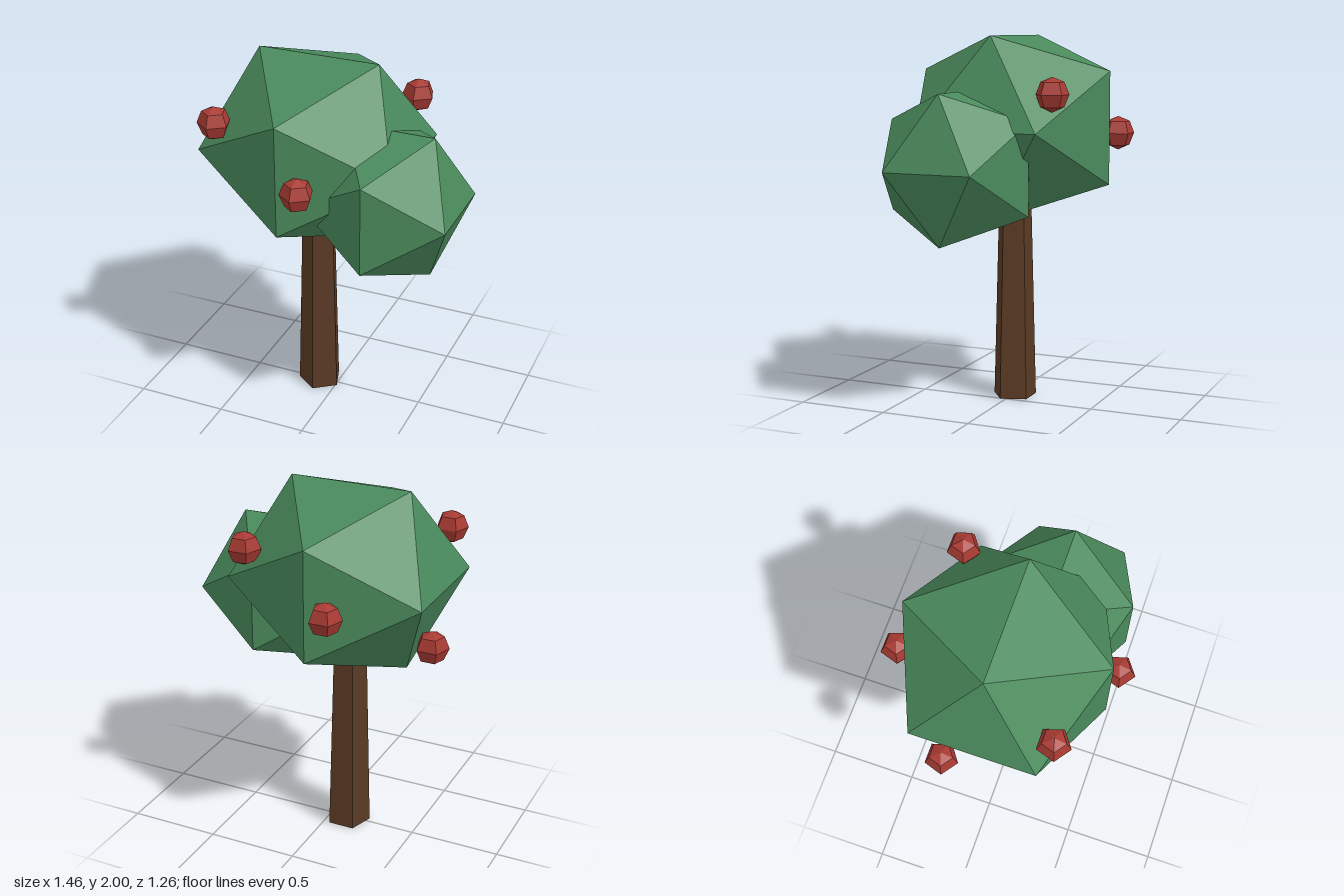
import * as THREE from 'three';

const material = (name, color) => {
  const m = new THREE.MeshStandardMaterial({ color, flatShading: true });
  m.name = name;
  return m;
};

export function createModel() {
  const tree = new THREE.Group();
  tree.name = 'fruitTree';
  const bark = material('bark brown', 0x5a3a25);
  const leaf = material('leaf green', 0x4a8a5c);
  const red = material('fruit red', 0xa83a33);

  const add = (name, geometry, mat, x, y, z) => {
    const mesh = new THREE.Mesh(geometry, mat);
    mesh.name = name;
    mesh.position.set(x, y, z);
    tree.add(mesh);
    return mesh;
  };

  // Five-sided tapering trunk, running up into the crown
  add('trunk', new THREE.CylinderGeometry(0.091, 0.123, 1.2, 5), bark, -0.108, 0.6, -0.008);

  // Large, slightly flattened crown and a smaller clump at its left
  add('mainCrown', new THREE.IcosahedronGeometry(0.637, 0), leaf, -0.11, 1.512, -0.01).scale.y = 0.9;
  add('sideCrown', new THREE.IcosahedronGeometry(0.46, 0), leaf, 0.338, 1.32, 0.12);

  // Faceted fruits around the crown
  const fruit = new THREE.SphereGeometry(0.09, 5, 4).rotateY(Math.PI / 2);
  [
    [-0.525, 1.705, 0.37],
    [0.012, 1.48, 0.541],
    [-0.648, 1.255, -0.182],
    [0.308, 1.705, -0.387],
    [-0.23, 1.48, -0.56],
  ].forEach((p, i) => add('fruit' + (i + 1), fruit, red, ...p));

  return tree;
}
